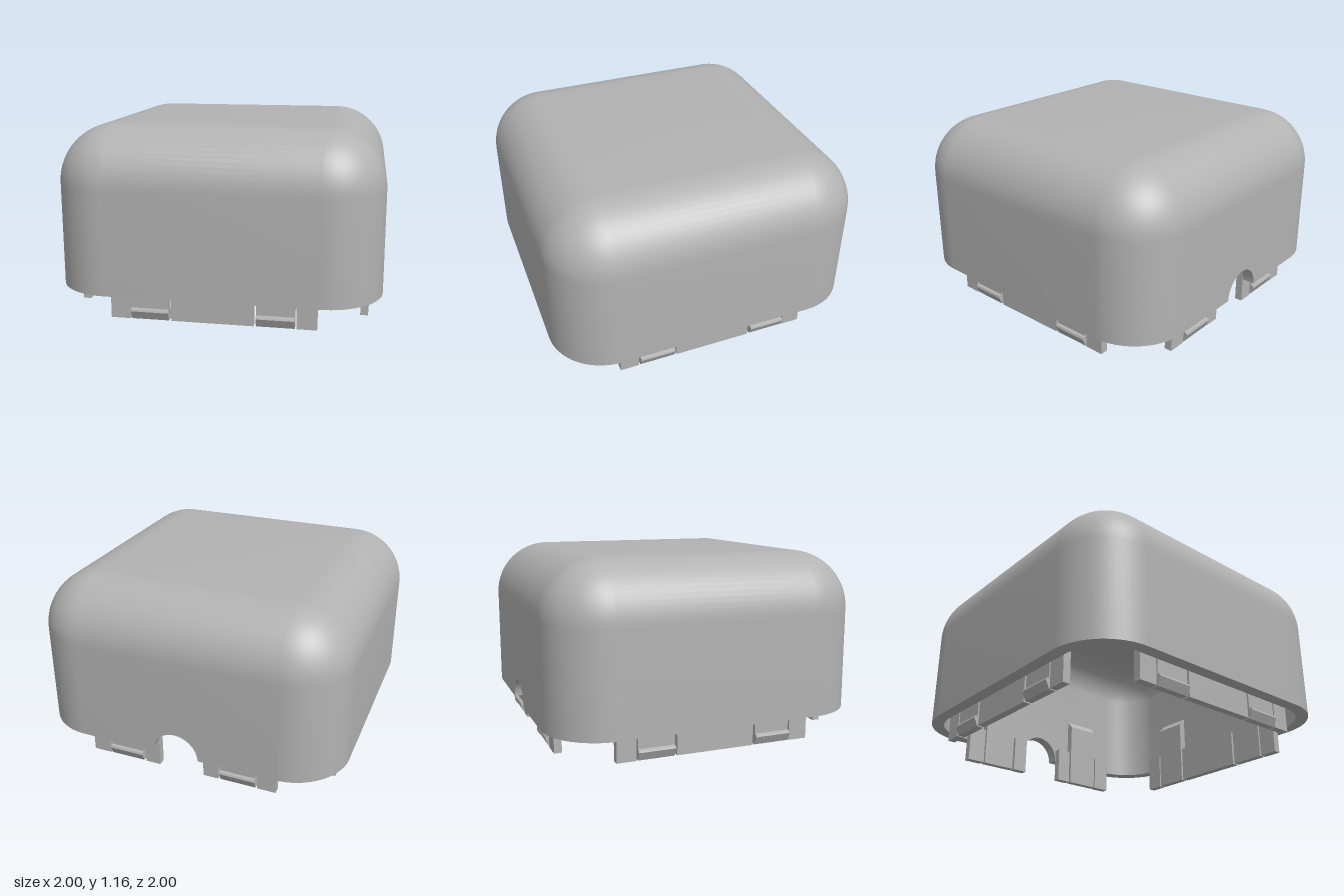
import * as THREE from 'three';
import { toCreasedNormals } from 'three/addons/utils/BufferGeometryUtils.js';

const RIM = 0.16, CORE = 0.64, R_OUT = 0.36, R_IN = 0.28, SPRING = 0.8, NOTCH = 0.15;

export function createModel() {
  const model = new THREE.Group();
  model.name = 'snapOnCover';
  const grey = new THREE.MeshStandardMaterial({ color: 0xb2b2b2 });
  grey.name = 'greyPlastic';

  const add = (parent, name, geometry) => {
    const mesh = new THREE.Mesh(geometry, grey);
    mesh.name = name;
    parent.add(mesh);
    return mesh;
  };
  const box = (parent, name, x0, x1, y0, y1, z0, z1) =>
    add(parent, name, new THREE.BoxGeometry(x1 - x0, y1 - y0, z1 - z0))
      .position.set((x0 + x1) / 2, (y0 + y1) / 2, (z0 + z1) / 2);

  add(model, 'shell', shellGeometry());

  // Four rows of snap clips; the back row leaves room for the cable notch
  ['front', 'left', 'back', 'right'].forEach((side, i) => {
    const row = new THREE.Group();
    row.name = side + 'ClipRow';
    row.rotation.y = i * Math.PI / 2;
    model.add(row);
    for (const s of [-1, 1]) {
      const span = (name, a, b) =>
        box(row, name, Math.min(s * a, s * b), Math.max(s * a, s * b), 0, 0.24, 0.87, 0.918);
      span('endPlate', 0.505, 0.625);
      if (side === 'back') span('notchPlate', NOTCH, 0.25);
      add(row, 'snapClip', clipGeometry(0.23)).position.x = s * 0.38;
    }
    if (side !== 'back') box(row, 'centrePlate', -0.25, 0.25, 0, 0.24, 0.87, 0.918);
  });

  // Round holder on the inside of the front wall
  const holder = new THREE.Group();
  holder.name = 'roundHolder';
  holder.position.set(0, 0.66, 0.925);
  holder.rotation.y = Math.PI;
  model.add(holder);
  add(holder, 'holderRing', arcGeometry(0.14, 0.17, Math.PI, 0.02));
  for (let i = 0; i < 3; i++) {
    const finger = new THREE.Group();
    finger.name = 'holderFinger';
    finger.rotation.z = Math.PI + i * Math.PI * 2 / 3;
    holder.add(finger);
    add(finger, 'fingerArc', arcGeometry(0.14, 0.17, 0.5, 0.12));
    add(finger, 'fingerLip', arcGeometry(0.12, 0.17, 0.5, 0.03)).position.z = 0.1;
  }
  return model;
}

// Hollow rounded box: one loop of plan points swept through outer and inner rows
function shellGeometry() {
  const plan = [];
  const N = 16;
  [[1, 1], [-1, 1], [-1, -1], [1, -1]].forEach(([sx, sz], q) => {
    if (q === 3) {
      // extra points along the back edge for the half-round notch
      for (let i = 0; i <= 24; i++) {
        plan.push({ x: -NOTCH * Math.cos(Math.PI * i / 24), z: -CORE, nx: 0, nz: -1,
          lift: NOTCH * Math.sin(Math.PI * i / 24) });
      }
    }
    for (let i = 0; i <= N; i++) {
      const t = (q + i / N) * Math.PI / 2;
      plan.push({ x: sx * CORE, z: sz * CORE, nx: Math.cos(t), nz: Math.sin(t), lift: 0 });
    }
  });

  // rows: [plan scale, radius, height, notch follows]
  const rows = [[0, 0, SPRING + R_OUT, 0]];
  for (let i = 0; i <= N; i++) {
    const t = i / N * Math.PI / 2;
    rows.push([1, R_OUT * Math.sin(t), SPRING + R_OUT * Math.cos(t), 0]);
  }
  rows.push([1, R_OUT, RIM, 1], [1, R_IN, RIM, 1]);
  for (let i = 0; i <= N; i++) {
    const t = i / N * Math.PI / 2;
    rows.push([1, R_IN * Math.cos(t), SPRING + R_IN * Math.sin(t), 0]);
  }
  rows.push([0, 0, SPRING + R_IN, 0]);

  const pos = [], index = [], n = plan.length;
  for (const [k, r, y, notch] of rows) {
    for (const p of plan) pos.push(p.x * k + p.nx * r, y + notch * p.lift, p.z * k + p.nz * r);
  }
  for (let i = 0; i < rows.length - 1; i++) {
    for (let j = 0; j < n; j++) {
      const a = i * n + j, b = i * n + (j + 1) % n;
      index.push(a, b, a + n, b, b + n, a + n);
    }
  }
  const g = new THREE.BufferGeometry();
  g.setAttribute('position', new THREE.Float32BufferAttribute(pos, 3));
  g.setIndex(index);
  return toCreasedNormals(g, Math.PI / 5);
}

// Tall strip with a hooked tooth at the foot and a sloped top
function clipGeometry(width) {
  const profile = [[0.87, 0], [0.915, 0], [0.94, 0.053], [0.935, 0.065], [0.918, 0.07],
    [0.918, 0.5], [0.87, 0.45]];
  const shape = new THREE.Shape(profile.map(([z, y]) => new THREE.Vector2(z, y)));
  const g = new THREE.ExtrudeGeometry(shape, { depth: width, bevelEnabled: false });
  return g.rotateY(-Math.PI / 2).translate(width / 2, 0, 0);
}

// Ring sector of half angle h; a full ring when h is PI
function arcGeometry(inner, outer, h, depth) {
  const shape = new THREE.Shape();
  shape.absarc(0, 0, outer, -h, h, false);
  if (h < Math.PI) {
    shape.absarc(0, 0, inner, h, -h, true);
  } else {
    shape.holes.push(new THREE.Path().absarc(0, 0, inner, 0, Math.PI * 2, true));
  }
  const g = new THREE.ExtrudeGeometry(shape, { depth, bevelEnabled: false, curveSegments: 24 });
  return toCreasedNormals(g, Math.PI / 5);
}
